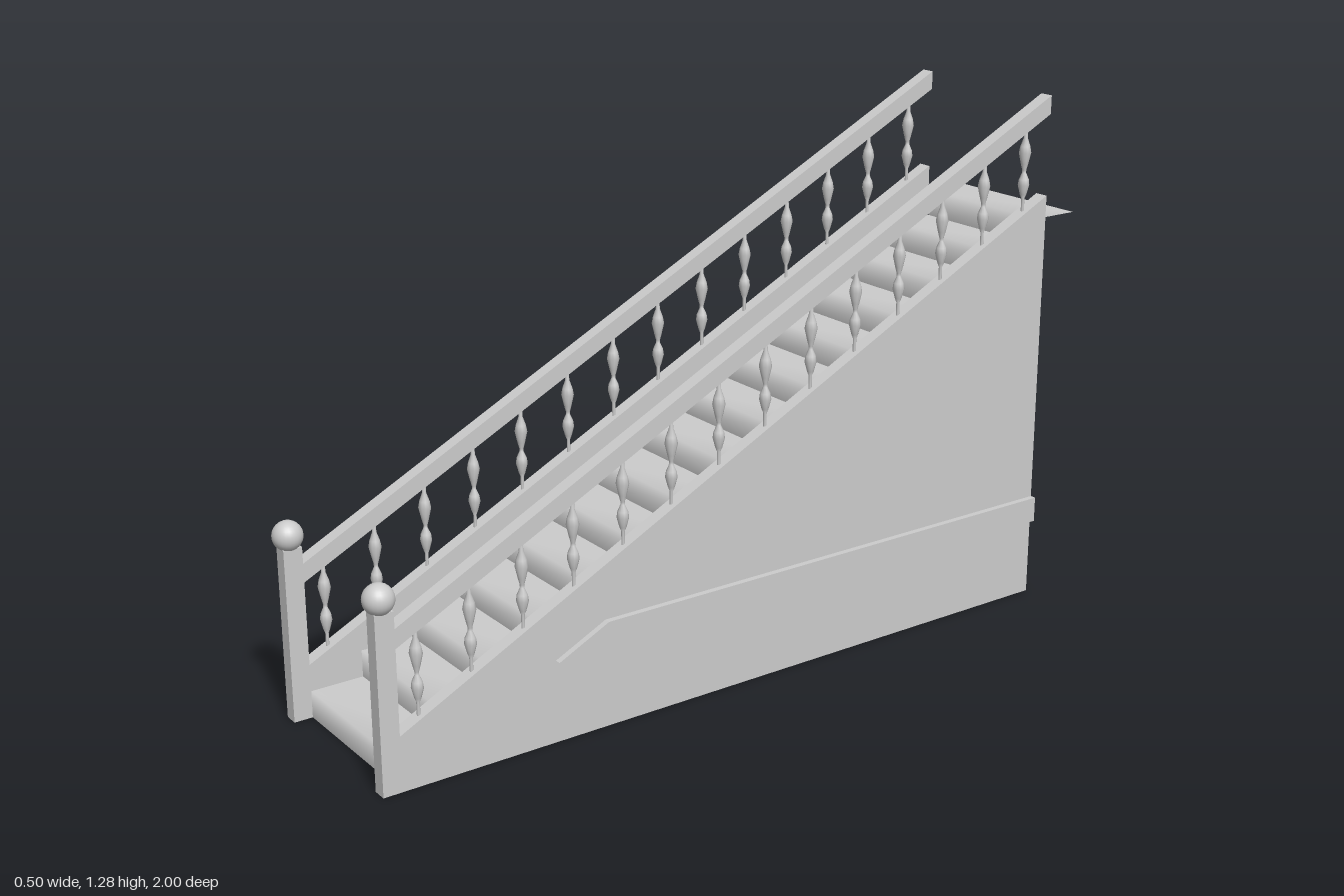
import * as THREE from 'three';

const IN = 0.195, OUT = 0.23;      // inner and outer x of the side structure
const FRONT = 0.94, BACK = -0.87;  // z range of the sloping parts
const RISE = 0.065, RUN = 0.1295, STEPS = 15;
const SLOPE = 0.91 / (FRONT - BACK);
const slopeY = (z, base) => base + (FRONT - z) * SLOPE;

export function createModel() {
  const model = new THREE.Group();
  const mat = new THREE.MeshStandardMaterial({ color: 0xcccccc });
  const sheetMat = new THREE.MeshStandardMaterial({ color: 0xcccccc, side: THREE.DoubleSide });

  const add = (parent, name, geometry, material = mat) => {
    const mesh = new THREE.Mesh(geometry, material);
    mesh.name = name;
    parent.add(mesh);
    return mesh;
  };

  const outline = pts => new THREE.Shape(pts.map(([z, y]) => new THREE.Vector2(z, y)));

  // Side profile in (z, y), extruded between two x positions
  const profile = (pts, xa, xb) => {
    const g = new THREE.ExtrudeGeometry(outline(pts), { depth: Math.abs(xb - xa), bevelEnabled: false });
    return g.rotateY(-Math.PI / 2).translate(Math.max(xa, xb), 0, 0);
  };

  // Sloping bar between two heights above the slope line
  const slopingBar = (low, high) => [
    [FRONT, low], [BACK, slopeY(BACK, low)], [BACK, slopeY(BACK, high)], [FRONT, high],
  ];

  // Steps: thin riser and tread sharing a softly shaded nose
  const steps = new THREE.Group();
  steps.name = 'steps';
  model.add(steps);
  for (let i = 0; i < STEPS; i++) {
    const z = FRONT - i * RUN, y = i * RISE;
    const back = i === STEPS - 1 ? -1 : z - RUN;
    const g = new THREE.BufferGeometry();
    g.setAttribute('position', new THREE.Float32BufferAttribute([
      -IN, y, z, IN, y, z,
      -IN, y + RISE, z, IN, y + RISE, z,
      -IN, y + RISE, back, IN, y + RISE, back,
    ], 3));
    g.setIndex([0, 1, 3, 0, 3, 2, 2, 3, 5, 2, 5, 4]);
    g.computeVertexNormals();
    add(steps, 'step', g, sheetMat);
  }

  // Turned baluster with two bulges, standing on its base
  const balusterGeometry = new THREE.LatheGeometry([
    [0.004, -0.005], [0.004, 0.03], [0.008, 0.04], [0.014, 0.063], [0.012, 0.077], [0.005, 0.093],
    [0.005, 0.1], [0.009, 0.115], [0.015, 0.142], [0.012, 0.158], [0.005, 0.178], [0.004, 0.207],
  ].map(([r, y]) => new THREE.Vector2(r, y)), 10);

  for (const s of [1, -1]) {
    const side = new THREE.Group();
    side.name = s > 0 ? 'leftSide' : 'rightSide';
    model.add(side);
    const mid = s * (IN + OUT) / 2;

    add(side, 'stringer', profile(slopingBar(0, 0.13), s * IN, s * OUT));
    add(side, 'handrail', profile(slopingBar(0.33, 0.375), s * IN, s * OUT));

    // Thin wall closing the side below the stringer
    const wall = new THREE.ShapeGeometry(outline([[FRONT, 0], [BACK, 0], [BACK, slopeY(BACK, 0)]]));
    add(side, 'sideWall', wall.rotateY(-Math.PI / 2).translate(s * OUT, 0, 0), sheetMat);

    // Raised trim with a slanted front end
    add(side, 'wallTrim', profile(
      [[0.555, 0.197], [BACK, 0.197], [BACK, 0.26], [0.425, 0.26]], s * OUT, s * 0.245));

    // Newel post and ball
    add(side, 'newelPost', new THREE.BoxGeometry(OUT - IN, 0.415, 0.045))
      .position.set(mid, 0.2075, 0.9625);
    add(side, 'newelBall', new THREE.SphereGeometry(0.035, 24, 16))
      .position.set(mid, 0.442, 0.965);

    // Balusters
    for (let i = 0; i < 14; i++) {
      const z = 0.885 - i * 0.1302;
      add(side, 'baluster', balusterGeometry, sheetMat).position.set(mid, slopeY(z, 0.13), z);
    }
  }
  return model;
}
